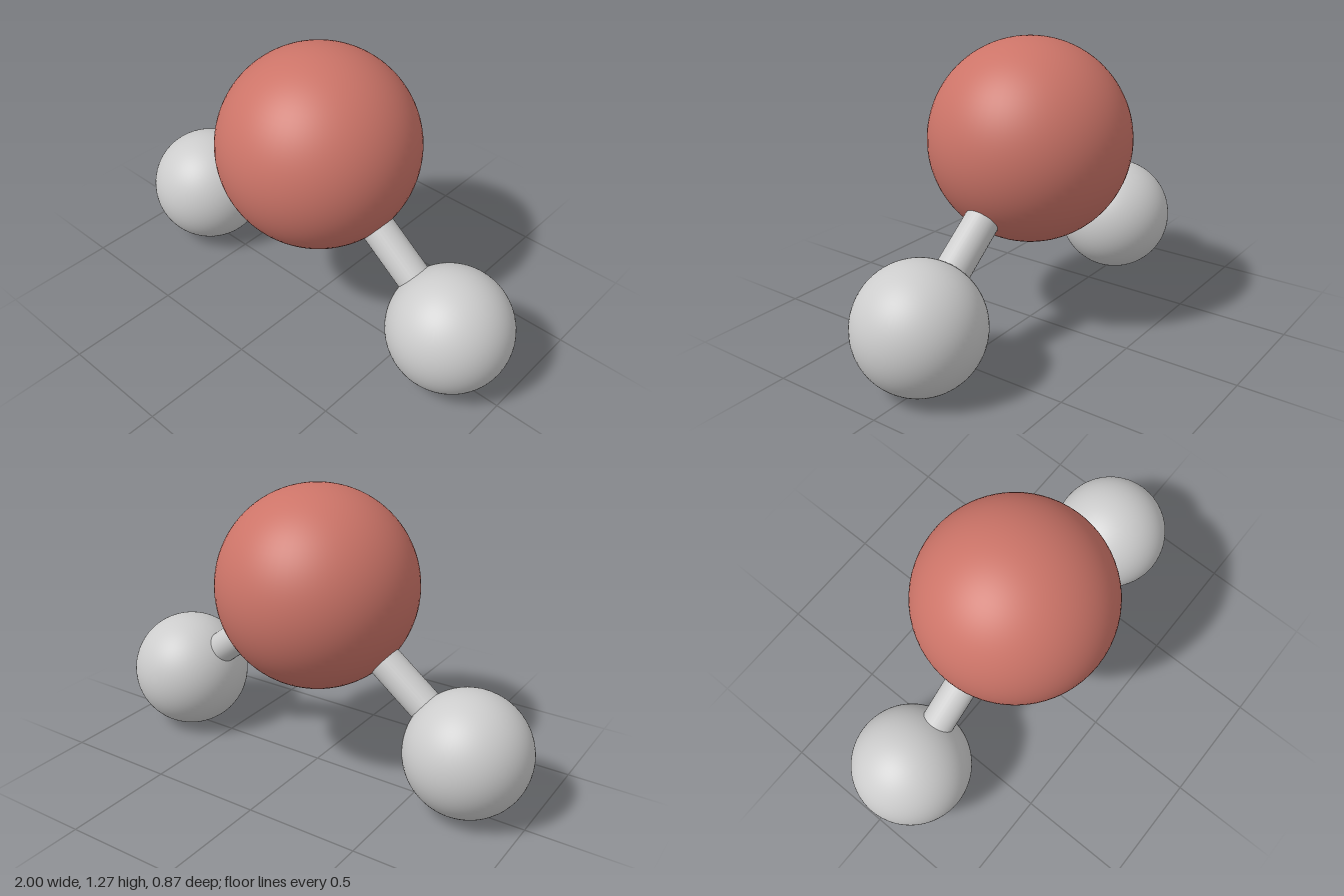
import * as THREE from 'three';

export function createModel() {
  const group = new THREE.Group();
  const red = new THREE.MeshStandardMaterial({ color: 0xcc7468 });
  red.name = 'soft red';
  const grey = new THREE.MeshStandardMaterial({ color: 0xcccccc });
  grey.name = 'light grey';

  const add = (name, geometry, material, position) => {
    const mesh = new THREE.Mesh(geometry, material);
    mesh.name = name;
    mesh.position.copy(position);
    group.add(mesh);
    return mesh;
  };

  // Large central ball
  const centre = new THREE.Vector3(0, 0.838, 0);
  add('centralAtom', new THREE.SphereGeometry(0.434, 64, 48), red, centre);

  // Small ball and connecting rod on each side
  const ballGeometry = new THREE.SphereGeometry(0.268, 64, 48);
  const up = new THREE.Vector3(0, 1, 0);
  for (const [side, s] of [['left', 1], ['right', -1]]) {
    const end = new THREE.Vector3(s * 0.732, 0.268, 0);
    add(side + 'Atom', ballGeometry, grey, end);

    const direction = end.clone().sub(centre);
    const rod = add(
      side + 'Bond',
      new THREE.CylinderGeometry(0.073, 0.073, direction.length(), 32),
      grey,
      centre.clone().add(end).multiplyScalar(0.5)
    );
    rod.quaternion.setFromUnitVectors(up, direction.normalize());
  }
  return group;
}
